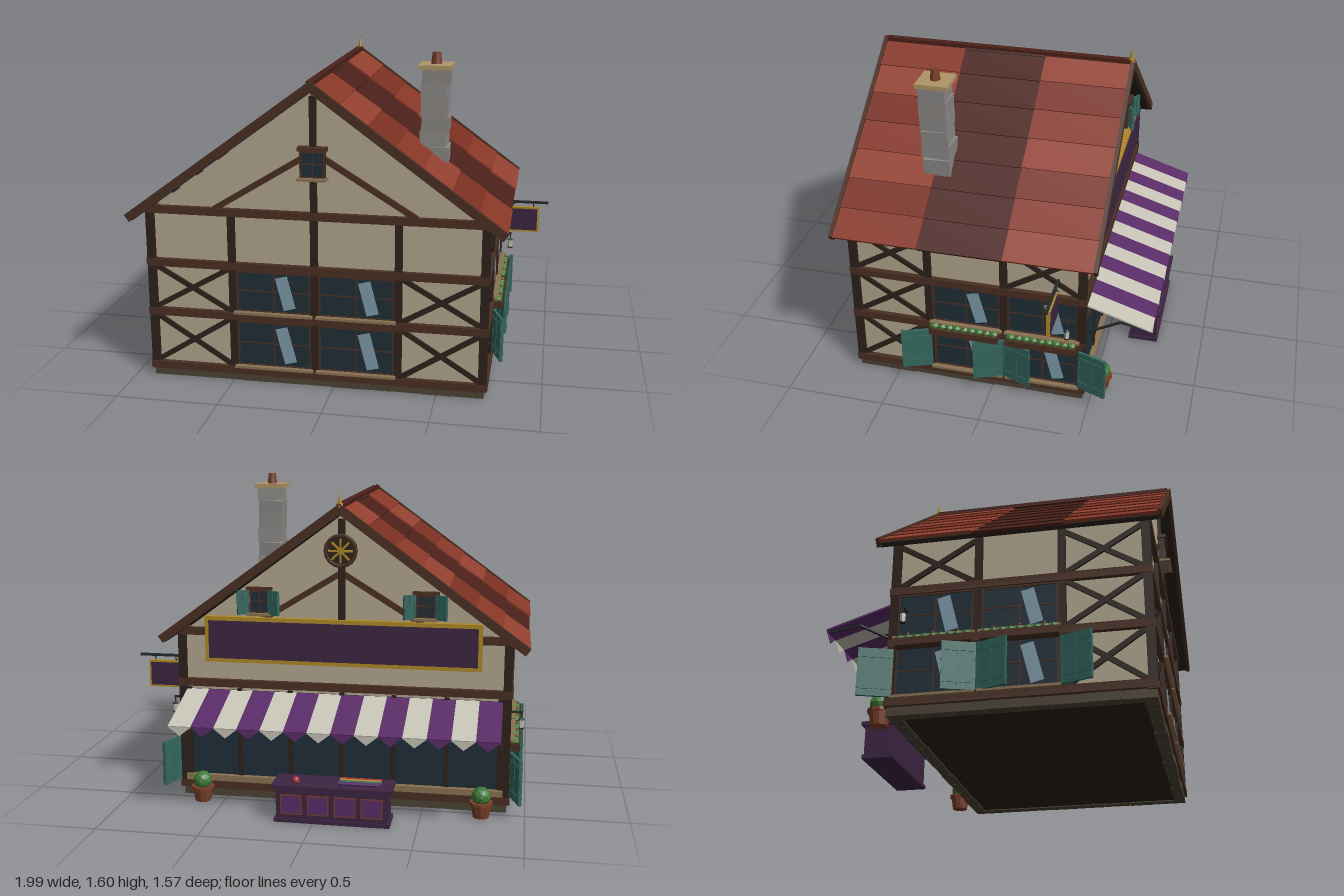
import * as THREE from 'three';

const mat = (color, side = THREE.FrontSide) =>
  new THREE.MeshStandardMaterial({ color, side, flatShading: true });
const M = {
  plaster: mat(0xb3a88f), timber: mat(0x4a2f22), dark: mat(0x2e211b), sill: mat(0x8a7252),
  glass: mat(0x1f2e38), shine: mat(0x7f9cab), teal: mat(0x34685f), leaf: mat(0x3f7a36),
  stone: mat(0x4d4335), floor: mat(0x2a2018), grey: mat(0x8c8986), cap: mat(0xb09668),
  pot: mat(0x7a3f28), gold: mat(0xb08a28), purple: mat(0x5a2d68), plum: mat(0x3d2542),
  white: mat(0xc8c4b8), iron: mat(0x252a2a), red: mat(0xa03030),
  roof: [mat(0x873627), mat(0x7a2f22), mat(0x93402f)], roofDark: mat(0x4a2019),
};

function add(parent, name, geo, m, x = 0, y = 0, z = 0) {
  const mesh = new THREE.Mesh(geo, m);
  mesh.name = name;
  mesh.position.set(x, y, z);
  parent.add(mesh);
  return mesh;
}
const box = (p, name, m, w, h, d, x, y, z) => add(p, name, new THREE.BoxGeometry(w, h, d), m, x, y, z);
// Straight bar between two points
function bar(p, name, m, a, b, w, d) {
  const A = new THREE.Vector3(...a), B = new THREE.Vector3(...b);
  const dir = B.clone().sub(A), mid = A.clone().add(B).multiplyScalar(0.5);
  const mesh = box(p, name, m, dir.length(), w, d, mid.x, mid.y, mid.z);
  mesh.quaternion.setFromUnitVectors(new THREE.Vector3(1, 0, 0), dir.normalize());
  return mesh;
}
function group(parent, name, x = 0, y = 0, z = 0, ry = 0) {
  const g = new THREE.Group();
  g.name = name;
  g.position.set(x, y, z);
  g.rotation.y = ry;
  parent.add(g);
  return g;
}

// Glazed window between two corners on a wall
function windowPane(p, u0, u1, v0, v1, shine = true) {
  const g = group(p, 'window', (u0 + u1) / 2, (v0 + v1) / 2, 0), w = u1 - u0, h = v1 - v0;
  box(g, 'glass', M.glass, w, h, 0.016, 0, 0, 0);
  for (const s of [-1, 1]) {
    box(g, 'frameSide', M.timber, 0.01, h, 0.03, s * (w / 2 - 0.005), 0, 0);
    box(g, 'frameRail', M.timber, w, 0.01, 0.03, 0, s * (h / 2 - 0.005), 0);
  }
  box(g, 'mullion', M.timber, 0.006, h, 0.024, 0, 0, 0);
  box(g, 'glazingBar', M.timber, w, 0.006, 0.024, 0, h * 0.02, 0);
  if (shine) box(g, 'reflection', M.shine, 0.06, h * 0.78, 0.004, w * 0.16, 0, 0.012).rotation.z = 0.25;
  box(g, 'sill', M.sill, w + 0.02, 0.012, 0.06, 0, -h / 2, 0.01);
}
function crossBrace(p, u0, u1, v0, v1) {
  bar(p, 'brace', M.dark, [u0, v0, 0], [u1, v1, 0], 0.024, 0.026);
  bar(p, 'brace', M.dark, [u0, v1, 0], [u1, v0, 0], 0.024, 0.022);
}
// Hinged shutter opening toward dir
function shutter(p, u, v, w, h, dir, angle = 0.35) {
  const g = group(p, 'shutter', u, v, 0.022, -dir * angle);
  box(g, 'shutterBoard', M.teal, w, h, 0.012, dir * w / 2, 0, 0);
  for (const k of [-0.33, 0.33]) box(g, 'shutterBatten', M.teal, w, h * 0.06, 0.02, dir * w / 2, k * h, 0);
  for (const k of [0.06, 0.5, 0.94]) box(g, 'shutterStile', M.teal, w * 0.07, h, 0.018, dir * w * k, 0, 0);
}
// Horizontal rails and posts shared by every wall
function frame(p, hw, posts, rails, top = 0.86) {
  for (const u of posts) box(p, 'post', M.dark, 0.035, top - 0.06, 0.04, u, (top + 0.06) / 2, 0);
  for (const v of rails) box(p, 'rail', M.timber, hw * 2 + 0.02, 0.038, 0.05, 0, v, 0);
}
// King post and struts of a gable
function gableTimbers(p) {
  box(p, 'kingPost', M.dark, 0.032, 0.56, 0.036, 0, 1.15, 0);
  for (const s of [-1, 1]) bar(p, 'strut', M.timber, [s * 0.49, 0.87, 0], [0, 1.17, 0], 0.028, 0.03);
}

function buildSide(house, s) {
  const p = group(house, s > 0 ? 'rightWall' : 'leftWall', s * 0.81, 0, 0, s * Math.PI / 2);
  frame(p, 0.585, [-0.578, -0.195, 0.1875, 0.578].map(u => s * u), [0.06, 0.338, 0.597]);
  const span = (f, a, b, ...r) => f(p, Math.min(s * a, s * b), Math.max(s * a, s * b), ...r);
  for (const [v0, v1] of [[0.08, 0.32], [0.36, 0.58]]) {
    span(crossBrace, -0.56, -0.21, v0, v1);
    span(windowPane, -0.178, 0.17, v0, v1);
    span(windowPane, 0.205, 0.56, v0, v1);
  }
  for (const a of [-0.56, 0.205]) span(crossBrace, a, a + 0.35, 0.62, 0.83);
  for (const [u, d] of [[-0.185, -1], [0.185, 1], [0.187, -1], [0.565, 1]]) shutter(p, s * u, 0.195, 0.155, 0.225, s * d);
  // Flower boxes with a row of leaves
  for (const u of [-0.01, 0.38]) {
    box(p, 'flowerBox', M.timber, 0.35, 0.035, 0.055, s * u, 0.325, 0.04);
    for (let i = 0; i < 9; i++) {
      const leaf = add(p, 'flowers', new THREE.IcosahedronGeometry(0.024, 0), M.leaf, s * u + (i - 4) * 0.038, 0.35, 0.04);
      leaf.scale.y = 0.7;
      if (i % 3 === 1) add(p, 'blossom', new THREE.IcosahedronGeometry(0.007, 0), M.red, s * u + (i - 4) * 0.038, 0.366, 0.05);
    }
  }
  // Wall lantern
  const l = group(p, 'lantern', s * 0.515, 0, 0);
  bar(l, 'lanternArm', M.iron, [0, 0.495, 0.01], [0, 0.495, 0.075], 0.01, 0.01);
  box(l, 'lanternHook', M.iron, 0.005, 0.04, 0.005, 0, 0.478, 0.07);
  add(l, 'lanternGlass', new THREE.CylinderGeometry(0.014, 0.011, 0.04, 6), M.white, 0, 0.437, 0.07);
  add(l, 'lanternTop', new THREE.ConeGeometry(0.017, 0.015, 6), M.iron, 0, 0.464, 0.07);
  add(l, 'lanternBase', new THREE.CylinderGeometry(0.014, 0.014, 0.006, 6), M.iron, 0, 0.415, 0.07);
  return p;
}

function hangingSign(p) {
  const g = group(p, 'hangingSign', 0.455, 0, 0);
  bar(g, 'signArm', M.iron, [0, 0.697, 0], [0, 0.697, 0.27], 0.012, 0.014);
  bar(g, 'signStay', M.iron, [0, 0.64, 0.01], [0, 0.695, 0.09], 0.01, 0.01);
  for (const w of [0.08, 0.19]) box(g, 'signChain', M.iron, 0.005, 0.035, 0.005, 0, 0.68, w);
  box(g, 'signFrame', M.gold, 0.018, 0.14, 0.175, 0, 0.6, 0.135);
  box(g, 'signBoard', M.plum, 0.024, 0.12, 0.155, 0, 0.6, 0.135);
  for (const d of [-1, 1]) bar(g, 'crossedEmblem', M.gold, [0, 0.555, 0.135 - d * 0.025], [0, 0.64, 0.135 + d * 0.015], 0.006, 0.03);
}

function buildBack(house) {
  const p = group(house, 'shopFront', 0, 0, -0.575, Math.PI);
  frame(p, 0.82, [-0.813, 0.813], [0.06, 0.597, 0.86]);
  gableTimbers(p);
  // Shop glazing
  box(p, 'shopGlass', M.glass, 1.58, 0.45, 0.016, 0, 0.335, 0);
  box(p, 'shopSill', M.sill, 1.6, 0.03, 0.05, 0, 0.1, 0.01);
  box(p, 'transom', M.timber, 1.58, 0.018, 0.03, 0, 0.45, 0);
  for (let i = 0; i <= 6; i++) box(p, 'shopMullion', M.dark, 0.024, 0.47, 0.034, (i - 3) * 0.26, 0.335, 0);
  // Fascia board
  box(p, 'fasciaFrame', M.gold, 1.37, 0.23, 0.03, 0, 0.825, 0.02);
  box(p, 'fasciaBoard', M.plum, 1.33, 0.19, 0.04, 0, 0.825, 0.02);
  // Attic windows and round ornament
  for (const s of [-1, 1]) {
    windowPane(p, s * 0.41 - 0.05, s * 0.41 + 0.05, 0.955, 1.075, false);
    box(p, 'atticLintel', M.timber, 0.13, 0.018, 0.045, s * 0.41, 1.08, 0);
    for (const d of [-1, 1]) shutter(p, s * 0.41 + d * 0.05, 1.015, 0.06, 0.12, d, 0.45);
  }
  const wheel = group(p, 'roundOrnament', 0, 1.28, 0.03);
  add(wheel, 'ornamentDisc', new THREE.CylinderGeometry(0.08, 0.08, 0.025, 16), M.dark).rotation.x = Math.PI / 2;
  add(wheel, 'ornamentRing', new THREE.TorusGeometry(0.074, 0.009, 6, 16), M.timber, 0, 0, 0.012);
  for (let i = 0; i < 4; i++) box(wheel, 'ornamentSpoke', M.gold, 0.12, 0.01, 0.01, 0, 0, 0.014).rotation.z = i * Math.PI / 4;
  // Striped awning with pointed valance
  const aw = group(p, 'awning'), w = 1.58 / 14;
  const point = new THREE.Shape([[-w / 2, 0], [0, -0.045], [w / 2, 0]].map(q => new THREE.Vector2(...q)));
  const cloth = [mat(0xc8c4b8, THREE.DoubleSide), mat(0x5a2d68, THREE.DoubleSide)];
  for (let i = 0; i < 14; i++) {
    const u = (i - 6.5) * w;
    bar(aw, 'awningStripe', i % 2 ? M.purple : M.white, [u, 0.558, 0.01], [u, 0.455, 0.335], 0.008, w)
      .rotation.set(0, -Math.PI / 2, -0.307, 'YXZ');
    add(aw, 'valance', new THREE.ShapeGeometry(point), cloth[i % 2], u, 0.455, 0.335);
  }
  for (const s of [-1, 1]) {
    bar(aw, 'awningArm', M.iron, [s * 0.77, 0.38, 0.01], [s * 0.77, 0.472, 0.18], 0.01, 0.01);
    bar(aw, 'awningArm', M.iron, [s * 0.77, 0.472, 0.18], [s * 0.77, 0.45, 0.33], 0.01, 0.01);
  }
  // Sales counter
  const c = group(p, 'counter', 0, 0, 0.24);
  box(c, 'counterBody', M.plum, 0.54, 0.17, 0.14, 0, 0.085, 0);
  box(c, 'counterTop', M.plum, 0.58, 0.02, 0.17, 0, 0.177, 0);
  box(c, 'counterPlinth', M.plum, 0.56, 0.02, 0.155, 0, 0.01, 0);
  for (let i = 0; i < 4; i++) {
    box(c, 'panelFrame', M.pot, 0.105, 0.1, 0.004, (i - 1.5) * 0.13, 0.09, 0.071);
    box(c, 'panel', M.purple, 0.092, 0.087, 0.006, (i - 1.5) * 0.13, 0.09, 0.071);
  }
  [M.red, M.gold, M.teal, M.purple].forEach((m, i) =>
    add(c, 'clothRoll', new THREE.CylinderGeometry(0.01, 0.01, 0.2, 8), m, 0.13, 0.196, (i - 1.5) * 0.021).rotation.z = Math.PI / 2);
  add(c, 'pincushion', new THREE.SphereGeometry(0.02, 8, 6), M.red, -0.18, 0.195, 0.02);
  // Potted shrubs
  for (const s of [-1, 1]) {
    const g = group(p, 'pottedPlant', s * 0.7, 0, 0.085);
    add(g, 'plantPot', new THREE.CylinderGeometry(0.052, 0.04, 0.07, 10), M.pot, 0, 0.035, 0);
    add(g, 'potRim', new THREE.CylinderGeometry(0.058, 0.058, 0.014, 10), M.pot, 0, 0.07, 0);
    add(g, 'shrub', new THREE.IcosahedronGeometry(0.048, 1), M.leaf, 0, 0.105, 0);
  }
}

function buildFront(house) {
  const p = group(house, 'frontWall', 0, 0, 0.575);
  frame(p, 0.82, [-0.813, -0.405, 0, 0.405, 0.813], [0.055, 0.338, 0.592, 0.86]);
  gableTimbers(p);
  for (const [v0, v1] of [[0.08, 0.315], [0.36, 0.573]]) {
    for (const a of [-0.795, 0.423]) crossBrace(p, a, a + 0.372, v0, v1);
    for (const a of [-0.387, 0.018]) windowPane(p, a, a + 0.369, v0, v1);
  }
  const g = group(p, 'atticWindow', 0, 0, 0.02);
  windowPane(g, -0.06, 0.06, 1.045, 1.18, false);
  box(g, 'atticLintel', M.timber, 0.14, 0.018, 0.05, 0, 1.187, 0);
}

function buildRoof(house) {
  const g = group(house, 'roof'), th = 0.632, L = 1.125, n = 7;
  const bands = [[0.215, 0.645], [-0.205, 0.215], [-0.645, -0.205]];
  for (const s of [-1, 1]) {
    const slab = (name, m, t, drop, len, h, z, d, tilt = 0) =>
      box(g, name, m, len, h, d, s * (t * Math.cos(th) - drop * Math.sin(th)), 1.505 - t * Math.sin(th) - drop * Math.cos(th), z)
        .rotation.z = -s * (th - tilt);
    slab('roofUnderside', M.floor, L / 2, 0.032, L - 0.01, 0.02, 0, 1.28);
    // Overlapping courses in three bands
    bands.forEach(([z0, z1], b) => {
      for (let i = 0; i < n; i++)
        slab('shingles', b === 1 ? M.roofDark : M.roof[(i * 2 + b) % 3], (i + 0.5) * L / n, b === 1 ? 0.02 : 0.012,
          L / n + 0.012, 0.014, (z0 + z1) / 2, z1 - z0, 0.035);
    });
    for (const z of [-0.647, 0.647]) slab('vergeBoard', M.timber, L / 2, 0.018, L + 0.01, 0.042, z, 0.02);
  }
  box(g, 'ridge', M.roofDark, 0.035, 0.02, 1.28, 0, 1.497, 0);
  add(g, 'finial', new THREE.ConeGeometry(0.014, 0.08, 6), M.gold, 0, 1.53, -0.64);
  add(g, 'finialBase', new THREE.CylinderGeometry(0.016, 0.02, 0.02, 6), M.gold, 0, 1.5, -0.64);
}

function buildChimney(house) {
  const g = group(house, 'chimney', 0.525, 0, 0.21);
  for (let i = 0; i < 7; i++) {
    const k = Math.sin(i * 2.4);
    box(g, 'stoneCourse', M.grey, 0.13 + k * 0.006, 0.079, 0.135 - k * 0.006, k * 0.004, 1.03 + i * 0.076, -0.01 + i * 0.0025)
      .rotation.set(k * 0.05, k * 0.04, -k * 0.04);
  }
  box(g, 'chimneyCap', M.cap, 0.16, 0.022, 0.16, 0, 1.53, 0);
  add(g, 'chimneyPot', new THREE.CylinderGeometry(0.02, 0.027, 0.055, 8), M.pot, 0, 1.568, 0);
}

export function createModel() {
  const root = new THREE.Group();
  const house = group(root, 'house', -0.09, 0, 0.125);
  // Plastered body with gables
  const body = new THREE.Shape([[-0.81, 0.04], [0.81, 0.04], [0.81, 0.85], [0, 1.45], [-0.81, 0.85]].map(q => new THREE.Vector2(...q)));
  add(house, 'plasterWalls', new THREE.ExtrudeGeometry(body, { depth: 1.15, bevelEnabled: false }), M.plaster, 0, 0, -0.575);
  box(house, 'floor', M.floor, 1.6, 0.04, 1.13, 0, 0.025, 0);
  // Stone footing
  for (const s of [-1, 1]) {
    for (let i = 0; i < 11; i++) box(house, 'footingStone', M.stone, 0.146, 0.04, 0.06 - (i % 3) * 0.004, (i - 5) * 0.149, 0.02, s * 0.56);
    for (let i = 0; i < 8; i++) box(house, 'footingStone', M.stone, 0.06 - (i % 3) * 0.004, 0.04, 0.141, s * 0.79, 0.02, (i - 3.5) * 0.144);
  }
  buildFront(house);
  buildBack(house);
  buildSide(house, -1);
  hangingSign(buildSide(house, 1));
  buildRoof(house);
  buildChimney(house);
  return root;
}
